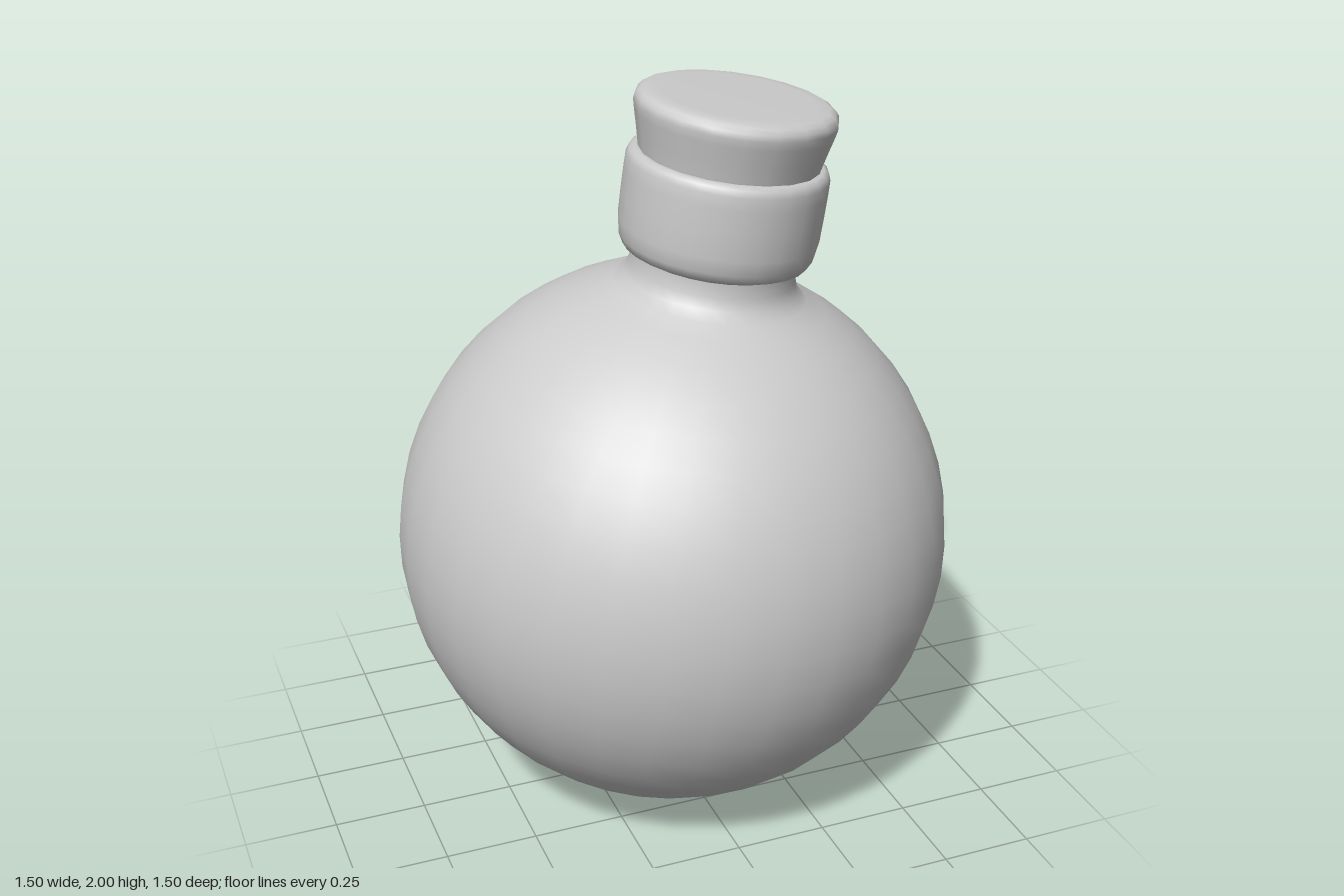
import * as THREE from 'three';

const RADIUS = 0.752;

// Turns a list of [radius, height] pairs into a smooth lathed mesh
function turned(name, profile, segments) {
  const points = profile.map(([r, h]) => new THREE.Vector2(r, h));
  const material = new THREE.MeshStandardMaterial({ color: 0xcccccc });
  const mesh = new THREE.Mesh(new THREE.LatheGeometry(points, segments), material);
  mesh.name = name;
  return mesh;
}

export function createModel() {
  const flask = new THREE.Group();
  flask.name = 'flask';

  // Round body running up into a narrow neck, heights measured from its centre
  const body = [];
  const steps = 22;
  const shoulder = Math.PI - 0.43;
  for (let i = 0; i <= steps; i++) {
    const a = (shoulder * i) / steps;
    body.push([RADIUS * Math.sin(a), -RADIUS * Math.cos(a)]);
  }
  body.push([0.258, 0.71], [0.231, 0.735], [0.22, 0.765], [0.217, 0.8], [0.217, 0.9]);
  flask.add(turned('bodyAndNeck', body, 32));

  // Thick rounded lip around the neck
  flask.add(turned('lip', [
    [0.2, 0.805], [0.222, 0.805], [0.244, 0.815], [0.257, 0.84], [0.263, 0.88],
    [0.264, 0.95], [0.264, 1.01], [0.263, 1.045], [0.257, 1.062], [0.245, 1.07],
    [0.225, 1.07], [0.2, 1.06],
  ], 28));

  // Flared stopper with a softened rim and flat top
  flask.add(turned('stopper', [
    [0.2, 1.0], [0.23, 1.04], [0.236, 1.075], [0.246, 1.12], [0.257, 1.165],
    [0.262, 1.188], [0.26, 1.204], [0.25, 1.216], [0.235, 1.223], [0.2, 1.225], [0, 1.225],
  ], 20));

  // The neck leans to the left and slightly forward
  const axis = new THREE.Vector3(0.12, 1, 0.068).normalize();
  flask.quaternion.setFromUnitVectors(new THREE.Vector3(0, 1, 0), axis);
  flask.position.y = RADIUS;

  const model = new THREE.Group();
  model.name = 'roundFlask';
  model.add(flask);
  return model;
}
